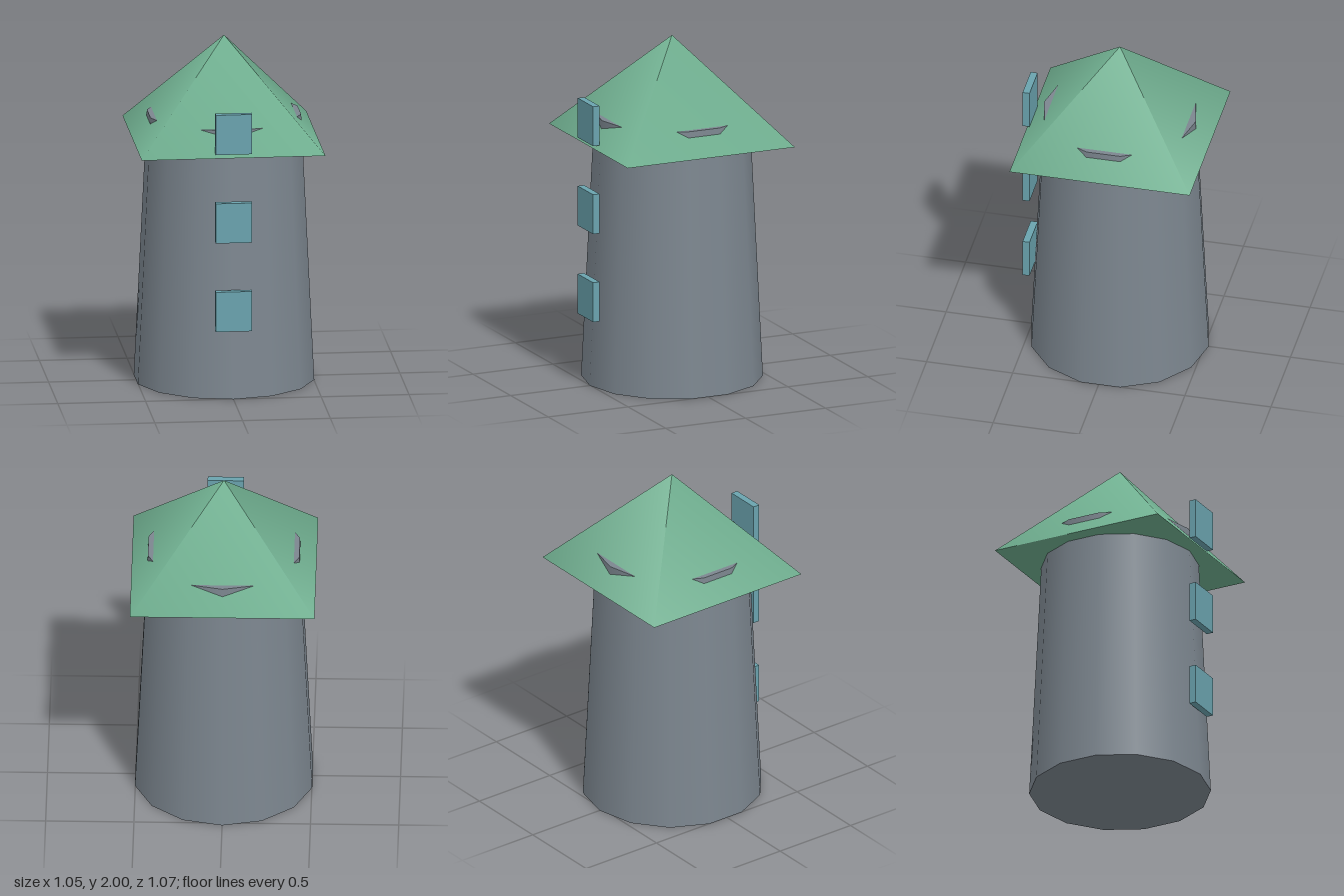
import * as THREE from 'three';

export function createModel() {
  const model = new THREE.Group();
  const CENTRE_Z = -0.01;

  const add = (name, geometry, color, x, y, z) => {
    const mesh = new THREE.Mesh(geometry, new THREE.MeshStandardMaterial({ color }));
    mesh.name = name;
    mesh.position.set(x, y, z);
    model.add(mesh);
    return mesh;
  };

  // Tapered 14-sided tower whose top rim pokes slightly through the roof
  const towerHeight = 1.55;
  add('tower', new THREE.CylinderGeometry(0.44, 0.515, towerHeight, 14), 0x7c868f, 0, towerHeight / 2, CENTRE_Z);

  // Square pyramid roof, sides parallel to x and z
  const roofBase = 1.41, roofHeight = 0.59;
  const roofGeometry = new THREE.ConeGeometry(0.523 * Math.SQRT2, roofHeight, 4);
  roofGeometry.rotateY(Math.PI / 4);
  add('roof', roofGeometry, 0x6fae8f, 0, roofBase + roofHeight / 2, CENTRE_Z);

  // Column of three window panels in front of the tower
  const windows = new THREE.Group();
  windows.name = 'windows';
  for (let i = 0; i < 3; i++) {
    windows.add(add('window', new THREE.BoxGeometry(0.206, 0.232, 0.04), 0x6aa3ae, 0, 0.518 + i * 0.517, 0.512));
  }
  model.add(windows);

  return model;
}
